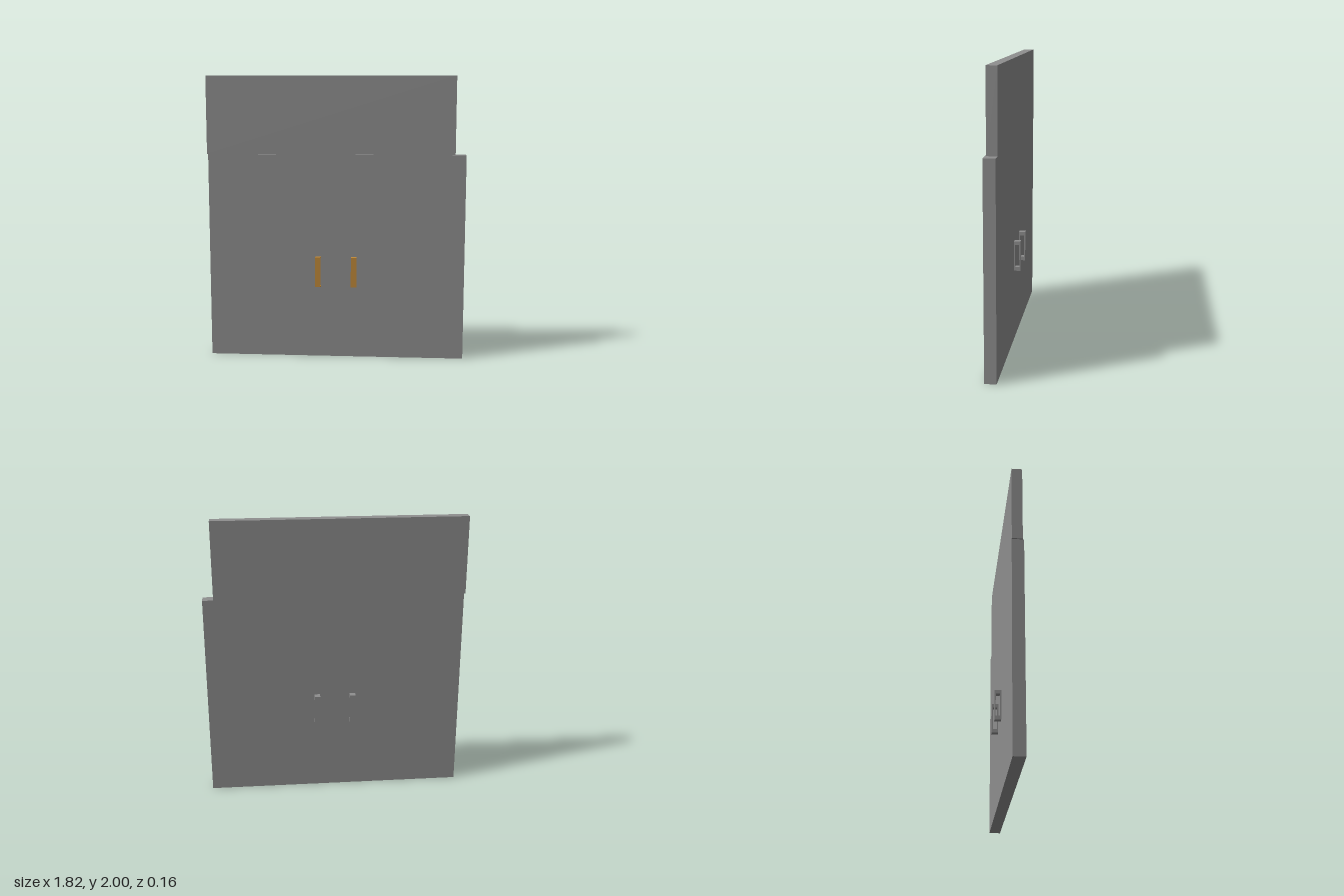
import * as THREE from 'three';

export function createModel() {
  const group = new THREE.Group();
  const grey = new THREE.MeshStandardMaterial({ name: 'grey panel', color: 0x8f8f8f });
  const gold = new THREE.MeshStandardMaterial({ name: 'golden brown', color: 0xc08a3a });

  // Box given by its limits on each axis
  function box(name, material, [x0, x1], [y0, y1], [z0, z1], parent = group) {
    const mesh = new THREE.Mesh(new THREE.BoxGeometry(x1 - x0, y1 - y0, z1 - z0), material);
    mesh.position.set((x0 + x1) / 2, (y0 + y1) / 2, (z0 + z1) / 2);
    mesh.name = name;
    parent.add(mesh);
  }

  // Door slab and the offset panel above it
  box('doorPanel', grey, [-0.9, 0.91], [0, 1.455], [-0.035, 0.045]);
  box('upperPanel', grey, [-0.91, 0.835], [1.455, 2], [-0.035, 0.036]);

  // Pull handle: a grip bar held off the door by two end posts
  function handle(name, material, x, face, tip, grip, post) {
    const part = new THREE.Group();
    part.name = name;
    const out = Math.sign(tip);
    const zs = (a, b) => [Math.min(a, b), Math.max(a, b)];
    const xs = [x - 0.02, x + 0.02];
    const inner = tip - out * grip;
    box('grip', material, xs, [0.515, 0.73], zs(inner, tip), part);
    box('lowerPost', material, xs, [0.515, 0.515 + post], zs(face, inner), part);
    box('upperPost', material, xs, [0.73 - post, 0.73], zs(face, inner), part);
    group.add(part);
  }
  for (const [side, x] of [['right', -0.122], ['left', 0.132]]) {
    handle(side + 'FrontHandle', gold, x, 0.045, 0.081, 0.007, 0.007);
    handle(side + 'BackHandle', grey, x, -0.035, -0.081, 0.008, 0.027);
    // Mounting plate behind the rear handle
    box(side + 'BackPlate', grey, [x - 0.02, x + 0.02], [0.542, 0.703], [-0.043, -0.035]);
  }
  return group;
}
